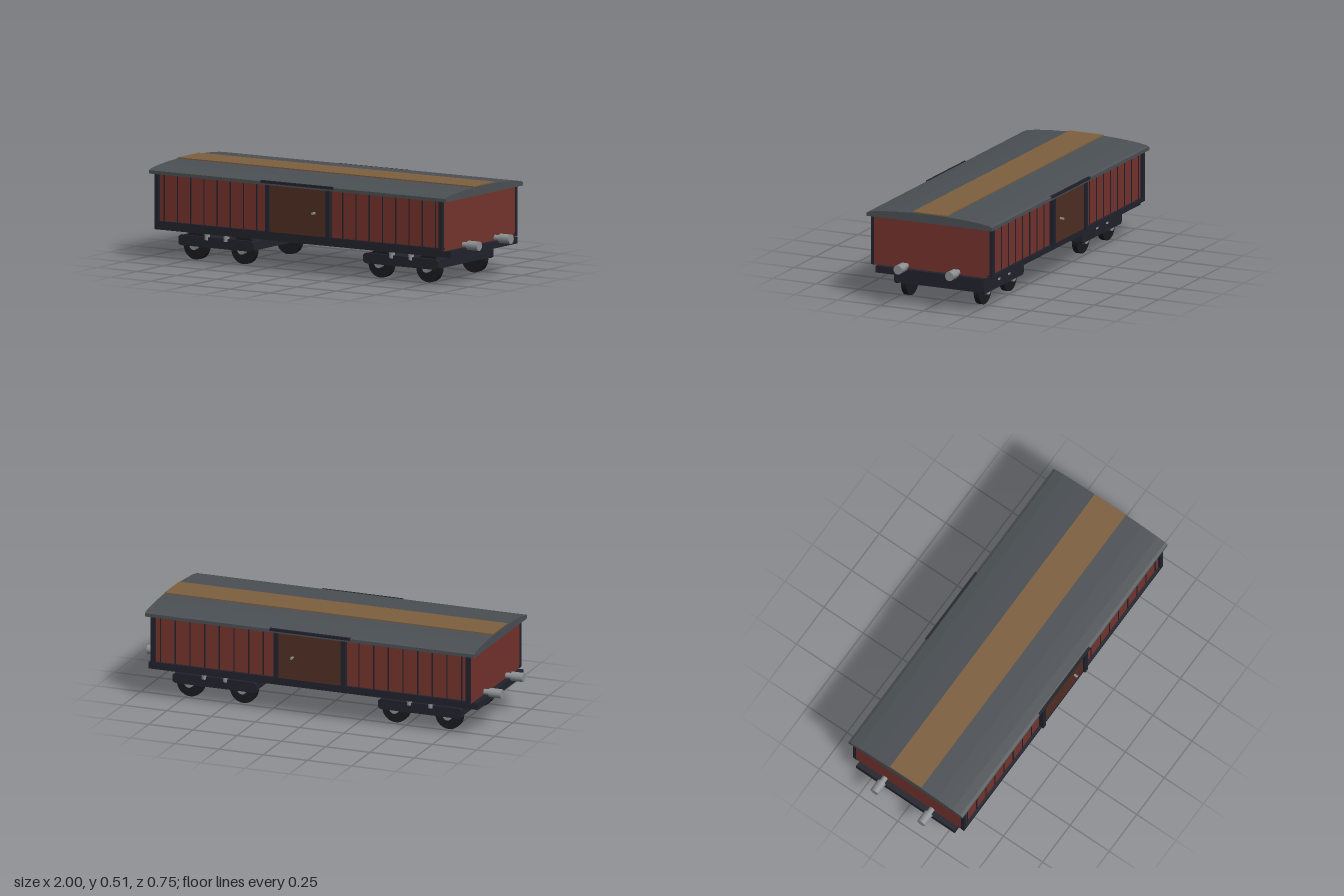
import * as THREE from 'three';

const mat = (name, color) => {
  const m = new THREE.MeshStandardMaterial({ color });
  m.name = name;
  return m;
};

export function createModel() {
  const red = mat('red planks', 0x75332d);
  const door = mat('door brown', 0x502e23);
  const dark = mat('dark frame', 0x22222d);
  const black = mat('wheel black', 0x1b1b20);
  const roofGrey = mat('roof grey', 0x4b5054);
  const tan = mat('walkway brown', 0x7d5f3f);
  const steel = mat('steel', 0x8c9193);

  const model = new THREE.Group();
  model.name = 'freightWagon';

  const add = (parent, name, geometry, material, x = 0, y = 0, z = 0) => {
    const m = new THREE.Mesh(geometry, material);
    m.name = name;
    m.position.set(x, y, z);
    parent.add(m);
    return m;
  };
  // Box given by its minimum and maximum on every axis
  const box = (parent, name, material, x0, x1, y0, y1, z0, z1) =>
    add(parent, name, new THREE.BoxGeometry(x1 - x0, y1 - y0, z1 - z0), material,
      (x0 + x1) / 2, (y0 + y1) / 2, (z0 + z1) / 2);
  // Cylinder lying along x or z, or standing along y
  const rod = (parent, name, material, r, length, axis, x, y, z, sides = 12) => {
    const g = new THREE.CylinderGeometry(r, r, length, sides);
    if (axis === 'x') g.rotateZ(Math.PI / 2);
    if (axis === 'z') g.rotateX(Math.PI / 2);
    return add(parent, name, g, material, x, y, z);
  };

  // Body and underframe
  box(model, 'body', red, -0.9, 0.9, 0.19, 0.456, -0.34, 0.34);
  box(model, 'underframe', dark, -0.93, 0.93, 0.155, 0.19, -0.315, 0.315);

  // Arched roof, extruded along x
  const half = [[0.365, 0.455], [0.365, 0.473], [0.35, 0.48], [0.3, 0.488],
    [0.25, 0.493], [0.2, 0.497], [0.1, 0.502]];
  const points = [...half, [0, 0.503], ...half.map(([z, y]) => [-z, y]).reverse()];
  const roofShape = new THREE.Shape(points.map(([z, y]) => new THREE.Vector2(z, y)));
  const roof = new THREE.ExtrudeGeometry(roofShape, { depth: 1.86, bevelEnabled: false });
  roof.translate(0, 0, -0.93).rotateY(Math.PI / 2);
  add(model, 'roof', roof, roofGrey);
  box(model, 'roofWalkway', tan, -0.928, 0.928, 0.499, 0.508, -0.1, 0.1);

  // Both long sides are alike
  for (const s of [1, -1]) {
    const side = new THREE.Group();
    side.name = s > 0 ? 'frontSide' : 'backSide';
    model.add(side);
    const slab = (name, m, x0, x1, y0, y1, za, zb) =>
      box(side, name, m, x0, x1, y0, y1, Math.min(s * za, s * zb), Math.max(s * za, s * zb));

    slab('sill', dark, -0.9, 0.9, 0.188, 0.207, 0.325, 0.355);
    slab('door', door, -0.18, 0.18, 0.207, 0.458, 0.338, 0.354);
    slab('doorRail', dark, -0.23, 0.225, 0.464, 0.478, 0.355, 0.368);
    for (const e of [1, -1]) {
      slab('cornerPost', dark, e * 0.89 - 0.012, e * 0.89 + 0.012, 0.19, 0.456, 0.336, 0.355);
      slab('doorPost', dark, e * 0.19 - 0.012, e * 0.19 + 0.012, 0.203, 0.456, 0.34, 0.368);
      for (let i = 0; i < 8; i++) {
        const x = e * (0.27 + i * 0.083);
        slab('plankBatten', dark, x - 0.003, x + 0.003, 0.207, 0.456, 0.338, 0.343);
      }
    }
    rod(side, 'doorKnob', steel, 0.007, 0.025, 'z', 0.1, 0.328, s * 0.362);
  }

  // Buffers on both ends
  for (const e of [1, -1]) {
    for (const z of [0.15, -0.15]) {
      rod(model, 'bufferShaft', steel, 0.016, 0.06, 'x', e * 0.915, 0.203, z);
      rod(model, 'bufferHead', steel, 0.025, 0.068, 'x', e * 0.966, 0.203, z);
    }
  }

  // Side frame outline with chamfered ends
  const frameShape = new THREE.Shape([[-0.235, 0.085], [-0.222, 0.075], [0.222, 0.075],
    [0.235, 0.085], [0.235, 0.12], [0.222, 0.13], [-0.222, 0.13], [-0.235, 0.12]]
    .map(([x, y]) => new THREE.Vector2(x, y)));
  const frame = new THREE.ExtrudeGeometry(frameShape, { depth: 0.018, bevelEnabled: false });
  frame.translate(0, 0, -0.009);

  // Two bogies with four wheels each
  for (const e of [1, -1]) {
    const bogie = new THREE.Group();
    bogie.name = e > 0 ? 'leftBogie' : 'rightBogie';
    bogie.position.x = e * 0.58;
    model.add(bogie);
    box(bogie, 'bogiePlate', dark, -0.228, 0.228, 0.08, 0.126, -0.247, 0.247);
    for (const s of [1, -1]) {
      add(bogie, 'sideFrame', frame, dark, 0, 0, s * 0.253);
      for (const x of [0.15, -0.15]) {
        rod(bogie, 'wheel', black, 0.076, 0.03, 'z', x, 0.076, s * 0.212, 28);
        rod(bogie, 'axleHub', steel, 0.026, 0.03, 'z', x, 0.079, s * 0.234, 16);
      }
      for (const x of [0.06, -0.06])
        rod(bogie, 'spring', steel, 0.0155, 0.043, 'y', x, 0.136, s * 0.253);
    }
  }
  return model;
}
